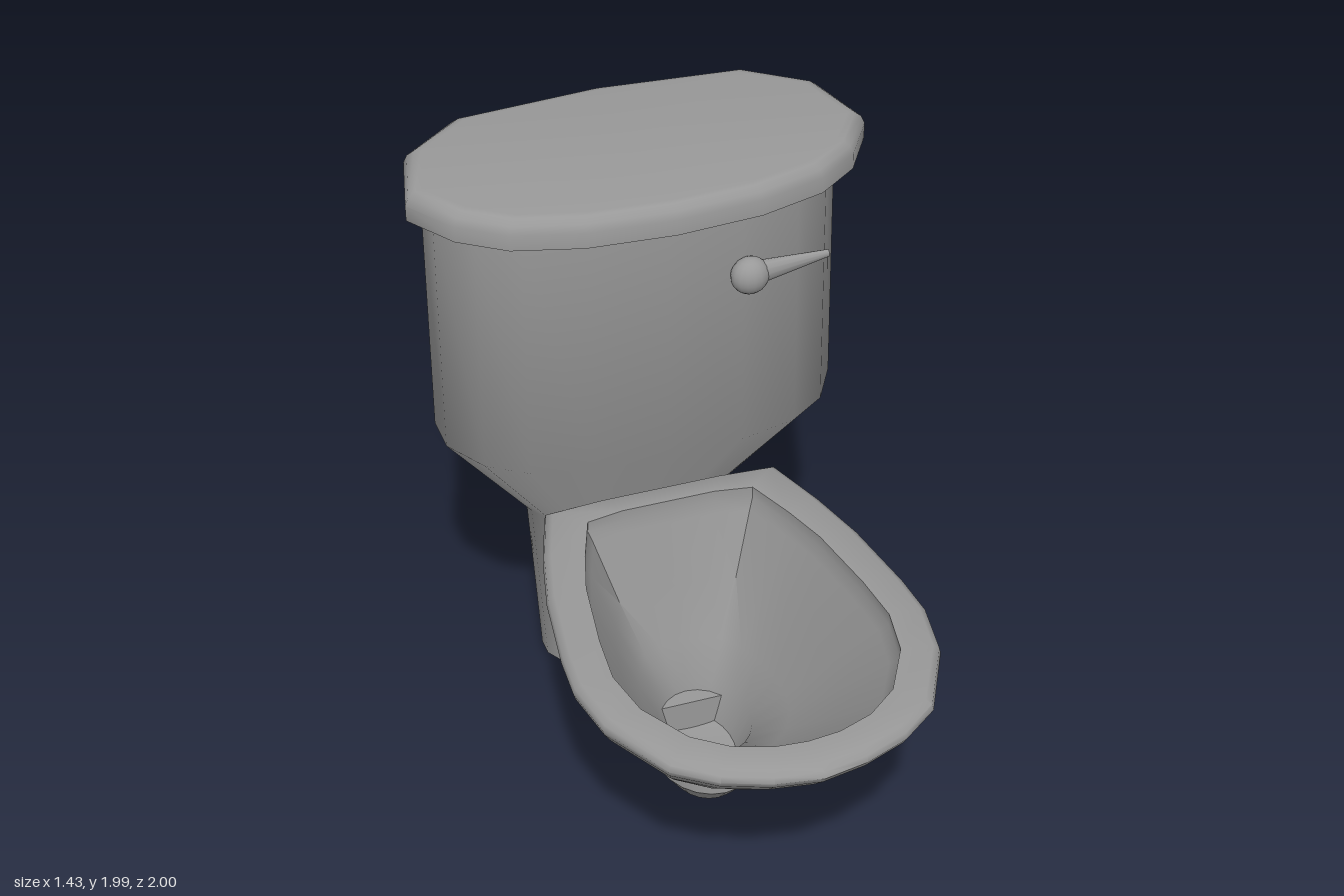
import * as THREE from 'three';
import { toCreasedNormals } from 'three/addons/utils/BufferGeometryUtils.js';

const porcelain = new THREE.MeshStandardMaterial({ color: 0x999999 });
porcelain.name = 'grey porcelain';

// Half outline [x, z] from back to front, mirrored into a closed ring.
const mirror = (half) => [...half, ...half.slice(1, -1).reverse().map(([x, z]) => [-x, z])];
const blend = (a, b, f) => a.map(([x, z], i) => [x + (b[i][0] - x) * f, z + (b[i][1] - z) * f]);
const point = (ring, z) => ring.map(() => [0, z]);
const oval = (n, rx, rz, cz = 0) => mirror(Array.from({ length: n }, (_, i) => {
  const a = (i / (n - 1)) * Math.PI;
  return [i === 0 || i === n - 1 ? 0 : rx * Math.sin(a), cz - rz * Math.cos(a)];
}));
// Unit outline fitted to a half width and a back/front depth.
const fit = (unit, w, back, front) => unit.map(([u, v]) => [u * w, back + v * (front - back)]);

// Skins a stack of [outline, y] sections.
function loft(sections, crease) {
  const pos = [];
  const rings = sections.map(([o, y]) => o.map(([x, z]) => new THREE.Vector3(x, y, z)));
  const tri = (a, b, c) => {
    const n = b.clone().sub(a).cross(c.clone().sub(a));
    if (n.length() > 1e-8) for (const p of [a, b, c]) pos.push(p.x, p.y, p.z);
  };
  for (let i = 0; i < rings.length - 1; i++) {
    const lo = rings[i], hi = rings[i + 1];
    for (let j = 0; j < lo.length; j++) {
      const k = (j + 1) % lo.length;
      tri(lo[j], hi[j], hi[k]);
      tri(lo[j], hi[k], lo[k]);
    }
  }
  const g = new THREE.BufferGeometry();
  g.setAttribute('position', new THREE.Float32BufferAttribute(pos, 3));
  return toCreasedNormals(g, crease);
}

export function createModel() {
  const model = new THREE.Group();
  const add = (name, geometry) => {
    const mesh = new THREE.Mesh(geometry, porcelain);
    mesh.name = name;
    model.add(mesh);
    return mesh;
  };

  // Tank tapering into the rear pedestal
  const tankUnit = mirror([[0, 0], [0.64, 0.02], [0.88, 0.09], [1, 0.3], [1, 0.52], [0.87, 0.76],
    [0.68, 0.9], [0.38, 0.975], [0, 1]]);
  const foot = fit(tankUnit, 0.29, -0.89, -0.61);
  const tankTop = fit(tankUnit, 0.63, -0.91, -0.31);
  add('tank', loft([
    [point(foot, -0.75), 0.02], [foot, 0.02],
    [fit(tankUnit, 0.325, -0.89, -0.61), 0.62],
    [fit(tankUnit, 0.63, -0.905, -0.31), 1.05],
    [tankTop, 1.9], [point(tankTop, -0.6), 1.9],
  ], 0.85));

  // Tank lid with a rounded upper edge
  const lid = mirror([[0, -1], [0.47, -0.96], [0.655, -0.81], [0.715, -0.57], [0.615, -0.41],
    [0.48, -0.31], [0.27, -0.25], [0, -0.23]]);
  const inset = (f) => lid.map(([x, z]) => [x * (1 - f), -0.61 + (z + 0.61) * (1 - f * 1.6)]);
  add('tankLid', loft([
    [point(lid, -0.6), 1.89], [lid, 1.89], [lid, 1.94], [inset(0.015), 1.965],
    [inset(0.045), 1.982], [inset(0.075), 1.985], [point(lid, -0.6), 1.985],
  ], 0.85));

  // Bowl: outer wall, rim, then the basin back down to the drain
  const rim = mirror([[0, -0.42], [0.2, -0.42], [0.38, -0.41], [0.45, -0.2], [0.5, 0], [0.54, 0.27],
    [0.55, 0.42], [0.52, 0.6], [0.4, 0.83], [0.28, 0.92], [0.14, 0.975], [0, 1]]);
  const mouth = mirror([[0, -0.33], [0.15, -0.33], [0.27, -0.31], [0.33, -0.15], [0.375, 0],
    [0.415, 0.25], [0.43, 0.42], [0.4, 0.58], [0.31, 0.74], [0.21, 0.82], [0.1, 0.86], [0, 0.87]]);
  const base = oval(12, 0.16, 0.2);
  const drain = oval(12, 0.145, 0.18);
  const trap = oval(12, 0.1, 0.155, -0.02);
  add('bowl', loft([
    [base, 0.22], [blend(base, rim, 0.29), 0.36], [blend(base, rim, 0.63), 0.56],
    [blend(base, rim, 0.89), 0.74], [blend(base, rim, 0.98), 0.81], [rim, 0.835],
    [blend(rim, mouth, 0.04), 0.855], [blend(rim, mouth, 0.2), 0.868],
    [mouth, 0.868], [mouth, 0.83], [blend(drain, mouth, 0.93), 0.79],
    [blend(drain, mouth, 0.6), 0.58], [blend(drain, mouth, 0.27), 0.39],
    [drain, 0.25], [trap, 0.12], [point(trap, -0.02), 0.1],
  ], 0.8));

  // Rounded sump under the bowl
  add('sump', loft([
    [point(base, 0), 0], [oval(12, 0.105, 0.13), 0.025], [oval(12, 0.16, 0.2), 0.105], [base, 0.22],
  ], 0.5));

  // Drain pipe joining sump and pedestal
  const pipe = add('drainPipe', new THREE.BoxGeometry(0.2, 0.17, 0.52));
  pipe.position.set(0, 0.134, -0.38);

  // Flush handle: flattened knob and tapering lever
  const knob = add('handleKnob', new THREE.SphereGeometry(0.06, 16, 12));
  knob.scale.z = 0.8;
  knob.position.set(0.25, 1.66, -0.3);
  const lever = add('handleLever', new THREE.CylinderGeometry(0.012, 0.042, 0.25, 12));
  lever.rotation.z = -Math.PI / 2 + 0.09;
  lever.position.set(0.375, 1.674, -0.3);
  lever.scale.z = 0.7;

  return model;
}
